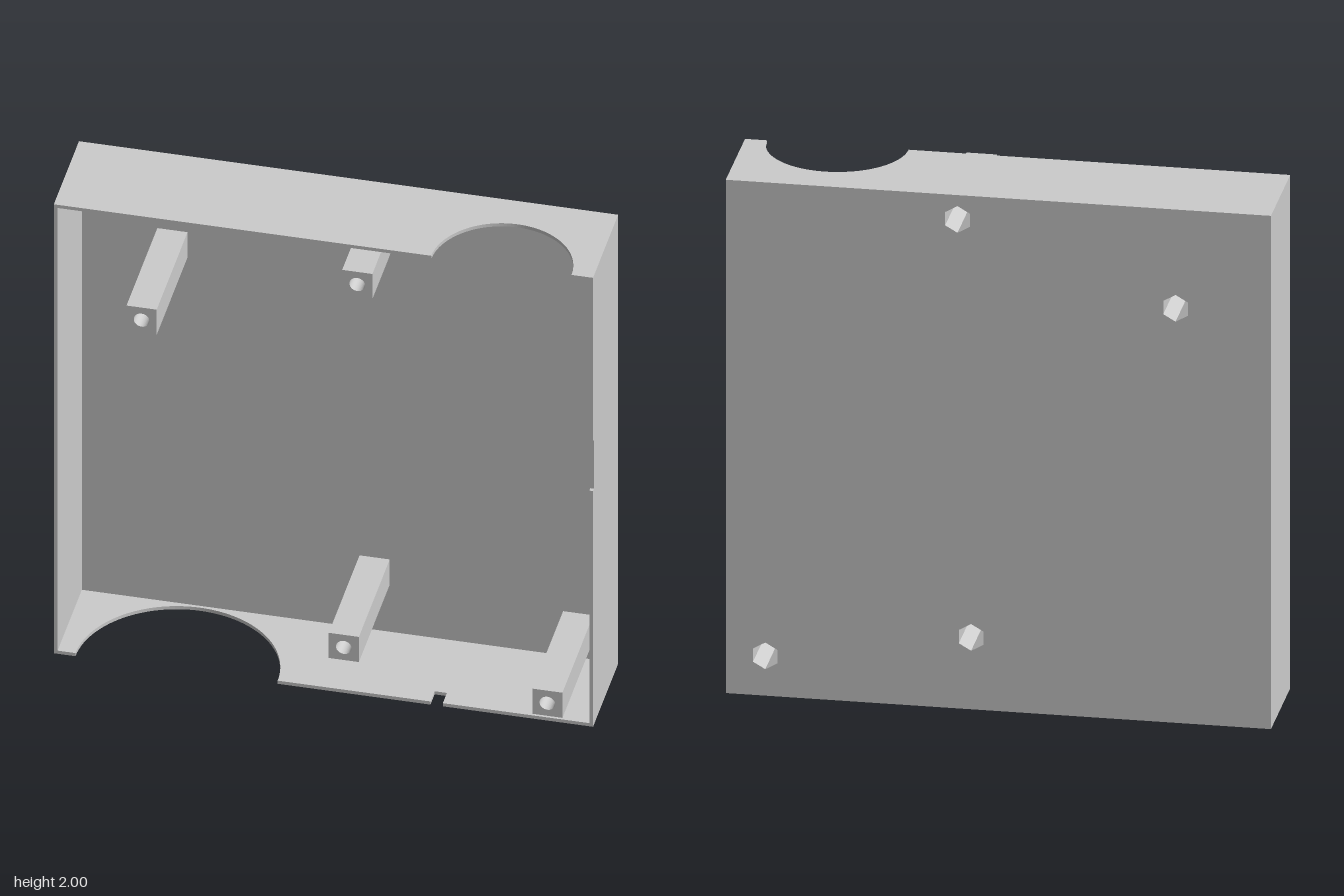
import * as THREE from 'three';

const BACK = -0.255, RIM = 0.145, T = 0.014, POST_END = 0.25, NUT_END = 0.16;
const POST = 0.056, BORE = 0.029, HEX = 0.052;
const POSTS = [[0.15, 1.905], [-0.65, 1.615], [0.1, 0.28], [0.855, 0.155]];

export function createModel() {
  const group = new THREE.Group();
  const material = new THREE.MeshStandardMaterial({ color: 0xcccccc, flatShading: true });
  const smooth = new THREE.MeshStandardMaterial({ color: 0xcccccc });

  const extrude = (shape, depth) =>
    new THREE.ExtrudeGeometry(shape, { depth, bevelEnabled: false, curveSegments: 32 });
  const add = (name, geometry, parent = group, mat = material) => {
    const mesh = new THREE.Mesh(geometry, mat);
    mesh.name = name;
    parent.add(mesh);
    return mesh;
  };
  const rect = (x0, y0, x1, y1) => new THREE.Shape([
    new THREE.Vector2(x0, y0), new THREE.Vector2(x1, y0),
    new THREE.Vector2(x1, y1), new THREE.Vector2(x0, y1)]);
  const hexHole = (x, y) => new THREE.Path(Array.from({ length: 6 }, (_, i) => {
    const a = Math.PI / 2 - i * Math.PI / 3;
    return new THREE.Vector2(x + HEX * Math.cos(a), y + HEX * Math.sin(a));
  }));

  // Back plate with hexagonal nut pockets
  const plate = rect(-1, 0, 1, 2);
  POSTS.forEach(([x, y]) => plate.holes.push(hexHole(x, y)));
  add('backPlate', extrude(plate, T)).position.z = BACK;

  // Wall outline; cuts are listed in order of descending position along the rim
  const wallShape = (u0, u1, cuts = []) => {
    const s = new THREE.Shape();
    s.moveTo(u0, BACK + T);
    s.lineTo(u1, BACK + T);
    s.lineTo(u1, RIM);
    for (const { at, half, depth } of cuts) {
      s.lineTo(at + half, RIM);
      if (depth) {
        s.lineTo(at + half, RIM - depth);
        s.lineTo(at - half, RIM - depth);
        s.lineTo(at - half, RIM);
      } else s.absarc(at, RIM, half, 0, Math.PI, true);
    }
    s.lineTo(u0, RIM);
    return s;
  };

  // Top and bottom walls with round cutouts and a small cable slot
  const topWall = extrude(wallShape(-1, 1, [{ at: 0.66, half: 0.26 }]), T);
  add('topWall', topWall.rotateX(Math.PI / 2), group, smooth).position.y = 2;
  const bottomWall = extrude(wallShape(-1, 1, [
    { at: 0.42, half: 0.023, depth: 0.065 },
    { at: -0.545, half: 0.375 }]), T);
  add('bottomWall', bottomWall.rotateX(Math.PI / 2), group, smooth).position.y = T;

  // Side walls, the left one with a shallow rim notch
  const toSide = new THREE.Matrix4().makeBasis(
    new THREE.Vector3(0, 1, 0), new THREE.Vector3(0, 0, 1), new THREE.Vector3(1, 0, 0));
  const leftWall = extrude(wallShape(T, 2 - T, [{ at: 1.16, half: 0.11, depth: 0.015 }]), T);
  add('leftWall', leftWall.applyMatrix4(toSide)).position.x = 1 - T;
  const rightWall = extrude(wallShape(T, 2 - T), T);
  add('rightWall', rightWall.applyMatrix4(toSide)).position.x = -1;

  // Square screw posts: hexagonal pocket behind, round bore at the front
  POSTS.forEach(([x, y], i) => {
    const post = new THREE.Group();
    post.name = `screwPost${i + 1}`;
    post.position.set(x, y, 0);
    const sleeve = rect(-POST, -POST, POST, POST);
    sleeve.holes.push(hexHole(0, 0));
    add('nutSleeve', extrude(sleeve, NUT_END - BACK - T), post).position.z = BACK + T;
    const tip = rect(-POST, -POST, POST, POST);
    tip.holes.push(new THREE.Path().absarc(0, 0, BORE, 0, Math.PI * 2, true));
    add('boredTip', extrude(tip, POST_END - NUT_END), post, smooth).position.z = NUT_END;
    group.add(post);
  });

  return group;
}
